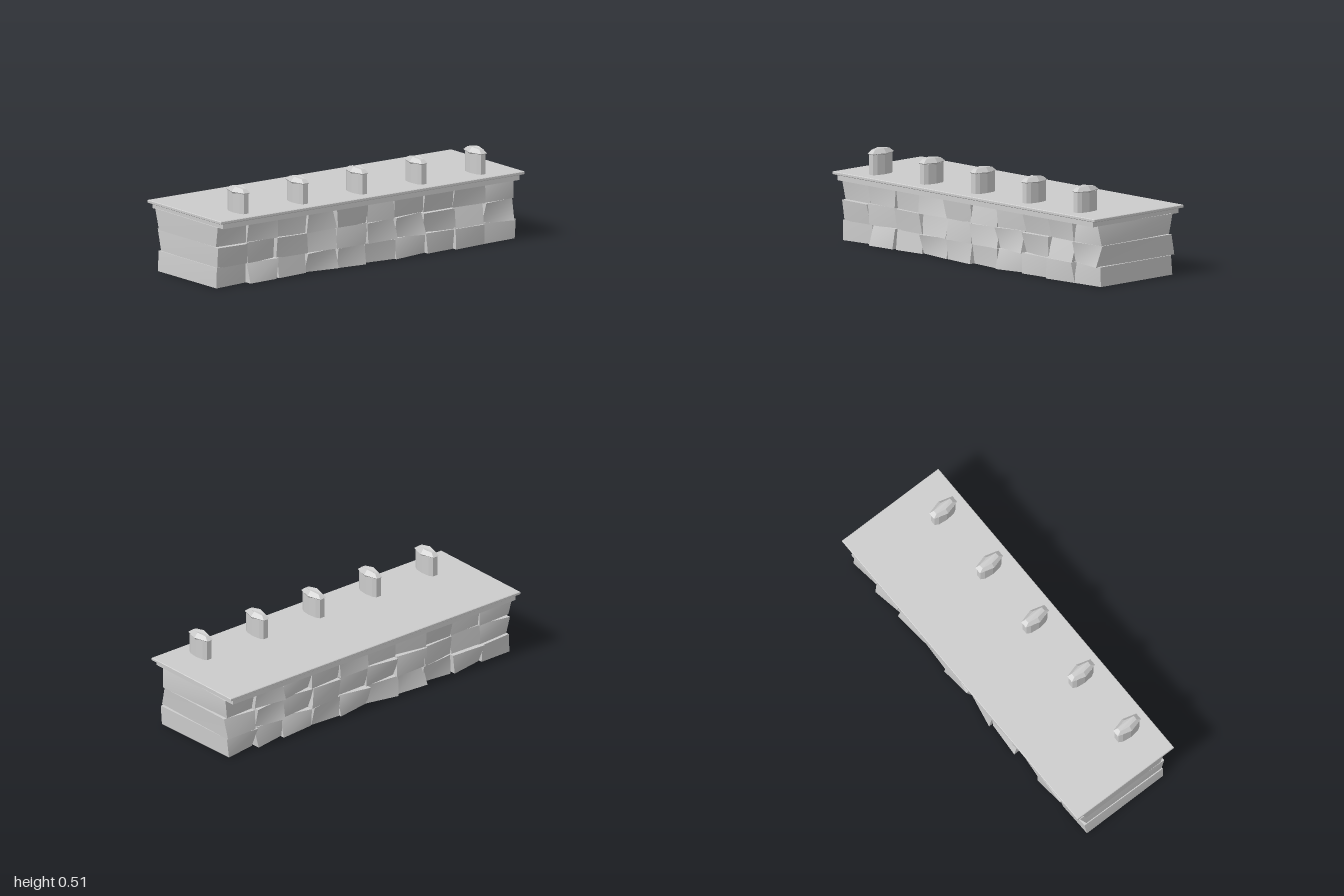
import * as THREE from 'three';

// Lofts between rings of equal point count, with flat facets and closed ends
function loft(rings) {
  const pos = [], n = rings[0].length;
  const tri = (a, b, c) => pos.push(...a, ...b, ...c);
  for (let r = 0; r < rings.length - 1; r++) {
    for (let i = 0; i < n; i++) {
      const j = (i + 1) % n, lo = rings[r], hi = rings[r + 1];
      tri(lo[i], lo[j], hi[j]);
      tri(lo[i], hi[j], hi[i]);
    }
  }
  const bottom = rings[0], top = rings[rings.length - 1];
  for (let i = 1; i < n - 1; i++) {
    tri(bottom[0], bottom[i + 1], bottom[i]);
    tri(top[0], top[i], top[i + 1]);
  }
  const geo = new THREE.BufferGeometry();
  geo.setAttribute('position', new THREE.Float32BufferAttribute(pos, 3));
  geo.computeVertexNormals();
  return geo;
}

// Rectangular ring; counter-clockwise seen from above
const rect = (x, z, y) => [[x, y, z], [x, y, -z], [-x, y, -z], [-x, y, z]];

// Long hexagon with flat ends; peak raises the middle pair of points
const hex = (end, mid, z, y, peak = 0) => [
  [end, y, z], [mid, y + peak, 0], [end, y, -z],
  [-end, y, -z], [-mid, y + peak, 0], [-end, y, z],
];

// Post section with chamfered corners
const postRing = (y) => [
  [0.016, y, 0.071], [0.028, y, 0.05], [0.034, y, 0], [0.028, y, -0.05], [0.016, y, -0.071],
  [-0.016, y, -0.071], [-0.028, y, -0.05], [-0.034, y, 0], [-0.028, y, 0.05], [-0.016, y, 0.071],
];

export function createModel() {
  const group = new THREE.Group();
  group.name = 'stoneWall';
  const stone = new THREE.MeshStandardMaterial({ color: 0xcccccc });
  stone.name = 'pale stone';

  const add = (name, geo, parent = group) => {
    const mesh = new THREE.Mesh(geo, stone);
    mesh.name = name;
    parent.add(mesh);
    return mesh;
  };

  let seed = 11;
  const rand = () => {
    seed = (seed * 16807) % 2147483647;
    return seed / 2147483647;
  };
  const jitter = (amount) => (rand() * 2 - 1) * amount;

  // Solid core behind the joints
  add('wallCore', new THREE.BoxGeometry(1.9, 0.31, 0.46)).position.y = 0.175;

  // Three courses of rough blocks, each running through the full depth
  const courses = new THREE.Group();
  courses.name = 'stoneCourses';
  group.add(courses);
  const columns = 10, pitch = 0.195, rows = [0.005, 0.115, 0.227, 0.338];
  for (let r = 0; r < 3; r++) {
    for (let c = 0; c < columns; c++) {
      const geo = new THREE.BoxGeometry(1, 1, 1);
      const p = geo.attributes.position;
      // One shifted position for each of the eight corners
      const corners = [];
      for (let k = 0; k < 8; k++) {
        const sx = k & 1, sy = (k >> 1) & 1, sz = k >> 2;
        const x = (c + sx - columns / 2) * pitch + jitter(0.011);
        const y = rows[r + sy] + (r + sy === 0 ? rand() * 0.004 : jitter(0.003));
        const z = (sz ? 1 : -1) * (0.26 + jitter(0.024));
        corners.push([x, y, z]);
      }
      for (let i = 0; i < p.count; i++) {
        const k = (p.getX(i) > 0 ? 1 : 0) + (p.getY(i) > 0 ? 2 : 0) + (p.getZ(i) > 0 ? 4 : 0);
        p.setXYZ(i, ...corners[k]);
      }
      geo.computeVertexNormals();
      add('stoneBlock', geo, courses);
    }
  }

  // Stepped coping with a thin bevelled top slab
  add('copingBase', loft([rect(0.975, 0.312, 0.335), rect(0.975, 0.312, 0.366)]));
  add('copingSlab', loft([
    rect(0.996, 0.321, 0.364), rect(1, 0.325, 0.367),
    rect(1, 0.325, 0.378), rect(0.997, 0.322, 0.381),
  ]));

  // Five posts along the front half, with bevelled caps
  const shaftGeo = loft([postRing(0.375), postRing(0.49)]);
  const capGeo = loft([
    hex(0.014, 0.03, 0.055, 0.478),
    hex(0.02, 0.042, 0.078, 0.494),
    hex(0.012, 0.022, 0.055, 0.513, 0.007),
  ]);
  for (let i = -2; i <= 2; i++) {
    const post = new THREE.Group();
    post.name = 'post';
    post.position.set(i * 0.39, 0, 0.183);
    add('postShaft', shaftGeo, post);
    add('postCap', capGeo, post);
    group.add(post);
  }
  return group;
}
